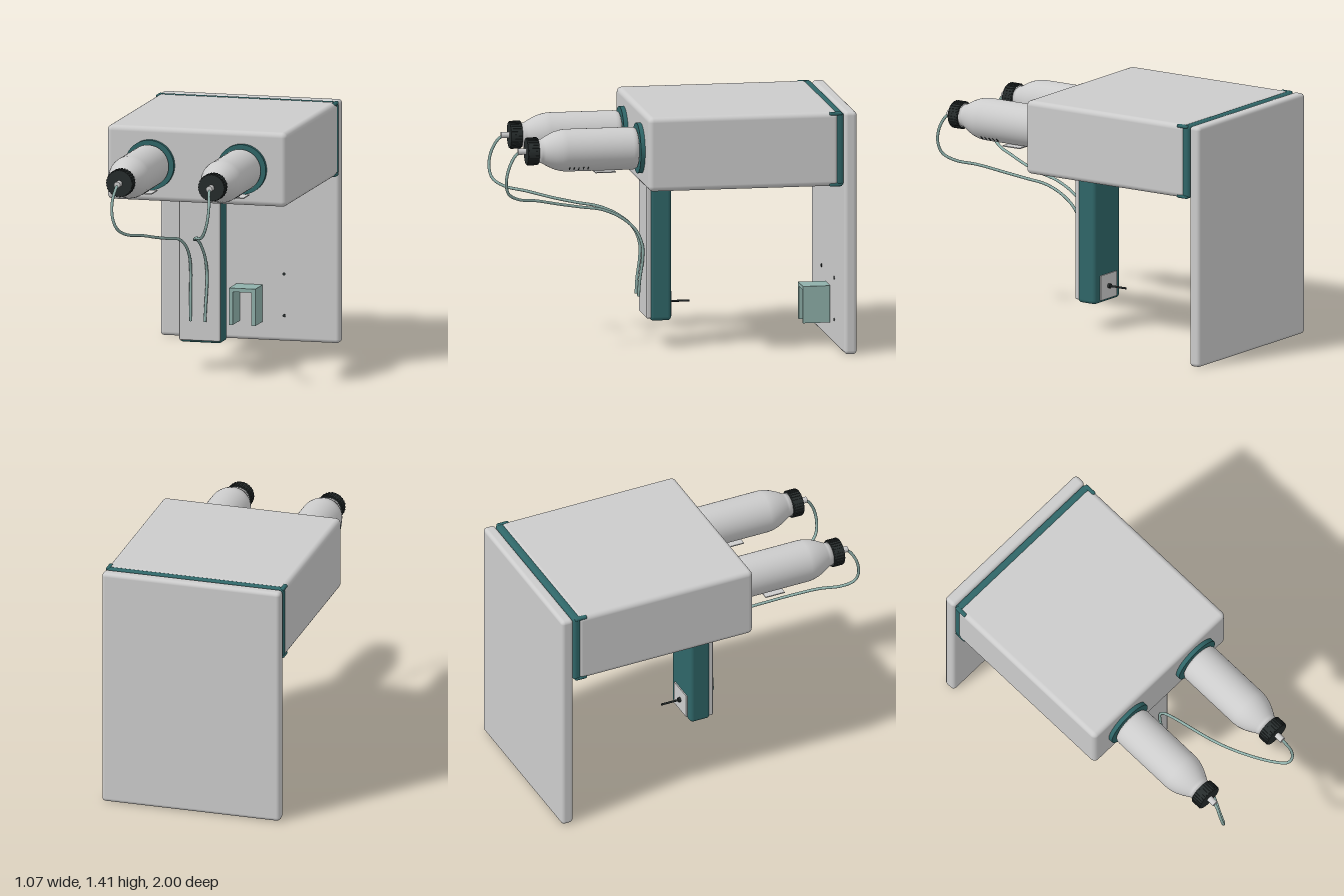
import * as THREE from 'three';
import { RoundedBoxGeometry } from 'three/addons/geometries/RoundedBoxGeometry.js';

const mat = (color, side = THREE.FrontSide) => new THREE.MeshStandardMaterial({ color, side });
const grey = mat(0xcccccc);
const white = mat(0xeef0f1);
const teal = mat(0x2f6668);
const paleTeal = mat(0x8fb0aa);
const dark = mat(0x262c2c);

function add(parent, name, geometry, material, x = 0, y = 0, z = 0) {
  const mesh = new THREE.Mesh(geometry, material);
  mesh.name = name;
  mesh.position.set(x, y, z);
  parent.add(mesh);
  return mesh;
}

// Box given by its low and high corners, rounded when r > 0
function block(parent, name, material, [x0, x1], [y0, y1], [z0, z1], r = 0) {
  const size = [x1 - x0, y1 - y0, z1 - z0];
  const geometry = r ? new RoundedBoxGeometry(...size, 4, r) : new THREE.BoxGeometry(...size);
  return add(parent, name, geometry, material, (x0 + x1) / 2, (y0 + y1) / 2, (z0 + z1) / 2);
}

// Cylinder lying along z
function rod(parent, name, material, r, x, y, z0, z1, sides = 40) {
  const geometry = new THREE.CylinderGeometry(r, r, z1 - z0, sides).rotateX(Math.PI / 2);
  return add(parent, name, geometry, material, x, y, (z0 + z1) / 2);
}

function createBottle() {
  const g = new THREE.Group();
  g.name = 'bottle';
  rod(g, 'bottleSocket', teal, 0.145, 0, 0, 0.2, 0.235, 56);
  // Body with rounded base, shoulder and neck
  const profile = [
    [0, 0.235], [0.1, 0.235], [0.114, 0.241], [0.121, 0.255], [0.122, 0.27], [0.122, 0.65],
    [0.118, 0.68], [0.108, 0.715], [0.092, 0.75], [0.078, 0.775], [0.069, 0.79], [0.069, 0.815], [0, 0.815],
  ].map(([r, z]) => new THREE.Vector2(r, z));
  add(g, 'bottleBody', new THREE.LatheGeometry(profile, 56).rotateX(Math.PI / 2), white);
  // Ribbed cap and outlet
  rod(g, 'cap', dark, 0.076, 0, 0, 0.81, 0.877);
  for (let i = 0; i < 28; i++) {
    const a = (i / 28) * Math.PI * 2;
    const rib = block(g, 'capRib', dark, [-0.004, 0.004], [-0.004, 0.004], [0.815, 0.872]);
    rib.position.x = Math.cos(a) * 0.076;
    rib.position.y = Math.sin(a) * 0.076;
    rib.rotation.z = a;
  }
  rod(g, 'outlet', grey, 0.018, 0, 0, 0.875, 0.925, 24);
  // Label plate and measuring ticks on the underside
  block(g, 'labelPlate', grey, [-0.085, 0.085], [-0.124, -0.118], [0.37, 0.49]);
  for (let i = 0; i < 5; i++) {
    const tick = block(g, 'measureTick', dark, [-0.012, 0.012], [-0.002, 0.002], [-0.003, 0.003]);
    tick.position.set(0.078, -0.094, 0.53 + i * 0.027);
    tick.rotation.z = 0.69;
  }
  return g;
}

function createTube(side) {
  const path = [
    [0.273, 1.192, 0.9], [0.276, 1.175, 0.935], [0.287, 1.1, 0.978], [0.28, 1.01, 0.993], [0.257, 0.945, 0.975],
    [0.22, 0.905, 0.91], [0.164, 0.885, 0.8], [0.11, 0.85, 0.65], [0.08, 0.826, 0.53], [0.056, 0.8, 0.39],
    [0.047, 0.745, 0.275], [0.046, 0.67, 0.195], [0.048, 0.58, 0.16], [0.048, 0.5, 0.16],
    [0.045, 0.38, 0.176], [0.042, 0.29, 0.182],
  ].map(([x, y, z]) => new THREE.Vector3(x * side, y, z));
  const geometry = new THREE.TubeGeometry(new THREE.CatmullRomCurve3(path), 120, 0.0085, 10);
  const tube = new THREE.Mesh(geometry, mat(0x8fb0aa, THREE.DoubleSide));
  tube.name = 'tube';
  return tube;
}

export function createModel() {
  const model = new THREE.Group();
  model.name = 'wallDispenser';

  // Wall plate with screws
  block(model, 'backPlate', grey, [-0.533, 0.533], [0, 1.41], [-1, -0.927], 0.022);
  for (const x of [-0.205, 0.205])
    for (const y of [0.148, 0.39]) rod(model, 'screw', dark, 0.009, x, y, -0.93, -0.922, 20);

  // Housing, seal and the seal's corner tabs
  block(model, 'housing', grey, [-0.533, 0.533], [0.98, 1.41], [-0.897, 0.21], 0.03);
  block(model, 'seal', teal, [-0.531, 0.531], [0.981, 1.409], [-0.925, -0.875], 0.02);
  for (const s of [-1, 1])
    for (const y of [0.989, 1.401]) {
      const tab = block(model, 'sealTab', teal, [-0.013, 0.013], [-0.01, 0.01], [-0.915, -0.84], 0.009);
      tab.position.x = s * 0.521;
      tab.position.y = y;
    }

  // Underside: vent slots, buttons, lamps and hatch
  for (let i = 0; i < 6; i++) {
    const z = -0.62 + i * 0.03;
    block(model, 'ventSlot', dark, [0.27, 0.45], [0.974, 0.985], [z - 0.006, z + 0.006]);
  }
  for (const x of [0.18, 0.305]) {
    block(model, 'button', teal, [x - 0.038, x + 0.038], [0.967, 0.985], [-0.29, -0.2], 0.006);
    block(model, 'buttonFace', paleTeal, [x - 0.018, x + 0.018], [0.965, 0.975], [-0.265, -0.225]);
    block(model, 'lamp', dark, [x - 0.01, x + 0.01], [0.977, 0.985], [-0.15, -0.13]);
  }
  block(model, 'hatch', teal, [-0.45, -0.13], [0.969, 0.985], [-0.32, -0.16], 0.006);

  // Leg with front panel and rear latch
  block(model, 'leg', teal, [-0.127, 0.127], [0.157, 1.0], [0.005, 0.13], 0.022);
  block(model, 'legPanel', grey, [-0.121, 0.121], [0.172, 0.985], [0.12, 0.15], 0.008);
  block(model, 'latchPlate', grey, [-0.08, 0.08], [0.175, 0.32], [-0.002, 0.02]);
  rod(model, 'latchCollar', dark, 0.014, 0, 0.248, -0.015, 0, 20);
  rod(model, 'latchPin', dark, 0.006, 0, 0.248, -0.122, 0, 12);

  // Holder on the wall plate: a channel open below
  for (const s of [-1, 1])
    block(model, 'holderSide', paleTeal, [s * 0.067 - 0.011, s * 0.067 + 0.011], [0.108, 0.322], [-0.767, -0.925].reverse());
  block(model, 'holderTop', paleTeal, [-0.078, 0.078], [0.3, 0.322], [-0.925, -0.767]);

  // Bottles and their tubes
  for (const s of [-1, 1]) {
    const bottle = createBottle();
    bottle.position.set(s * 0.273, 1.193, 0);
    model.add(bottle, createTube(s));
  }
  return model;
}
